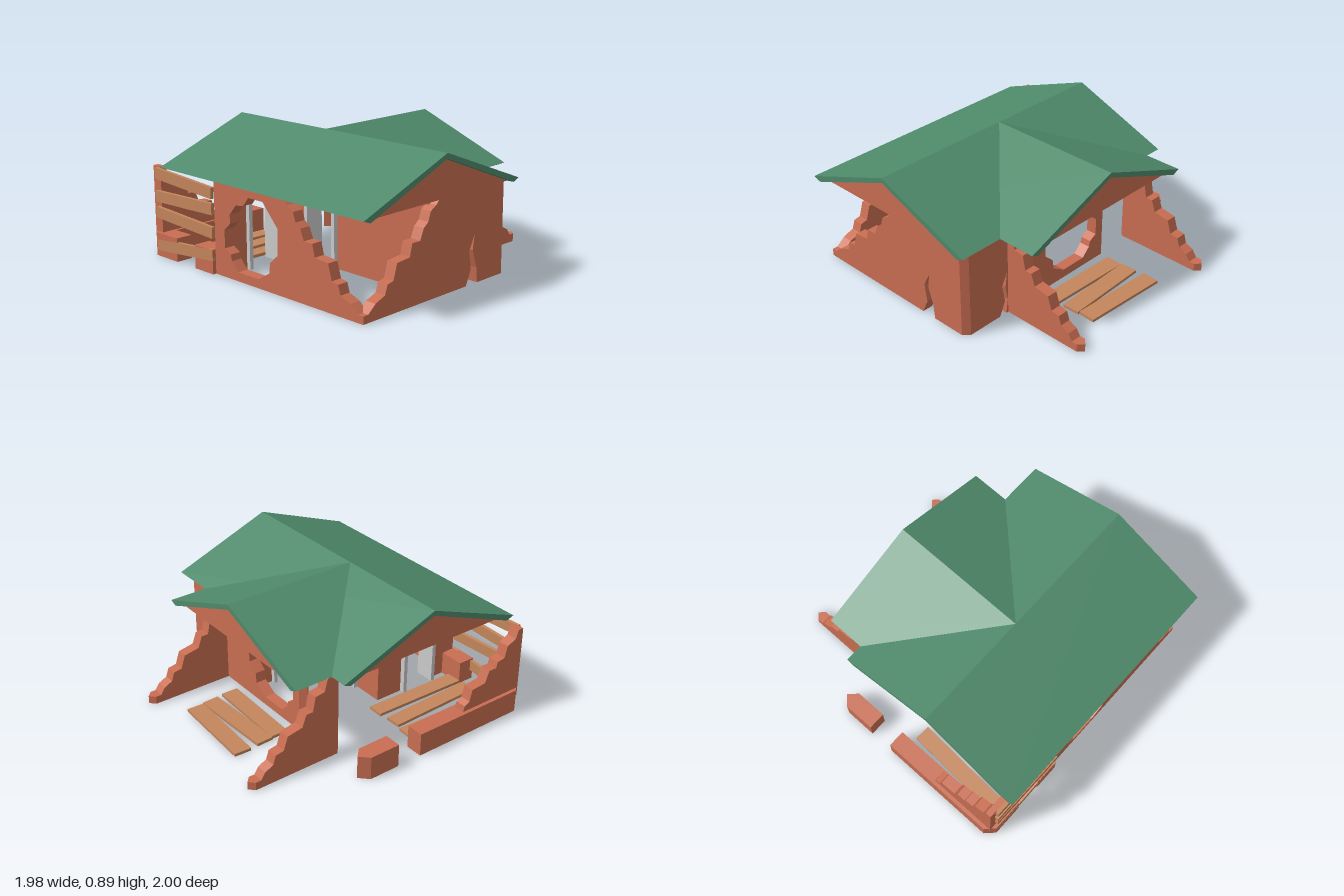
import * as THREE from 'three';

const mat = (color) => new THREE.MeshStandardMaterial({ color, flatShading: true });
const brick = mat(0xc96e52), roofGreen = mat(0x4f8a6b), wood = mat(0xc4865c), grey = mat(0xcccccc);
const T = 0.075; // wall thickness

const toShape = (pts) => new THREE.Shape(pts.map(([a, b]) => new THREE.Vector2(a, b)));
const extrude = (pts, depth, holes = []) => {
  const s = toShape(pts);
  for (const h of holes) s.holes.push(toShape(h));
  return new THREE.ExtrudeGeometry(s, { depth, bevelEnabled: false });
};

export function createModel() {
  const model = new THREE.Group();
  const add = (name, geo, material) => {
    const m = new THREE.Mesh(geo, material);
    m.name = name;
    model.add(m);
    return m;
  };
  // profile in (x, y), extruded from z0 to z1
  const alongX = (name, pts, z0, z1, material = brick, holes) =>
    add(name, extrude(pts, z1 - z0, holes).translate(0, 0, z0), material);
  // profile in (z, y), extruded from x0 to x1
  const alongZ = (name, pts, x0, x1, material = brick, holes) =>
    add(name, extrude(pts, x1 - x0, holes).rotateY(-Math.PI / 2).translate(x1, 0, 0), material);
  // footprint in (x, z), raised to a height
  const footprint = (name, pts, height) =>
    add(name, extrude(pts.map(([x, z]) => [x, -z]), height).rotateX(-Math.PI / 2), brick);
  const box = (name, w, h, d, x, y, z, material) => {
    const m = add(name, new THREE.BoxGeometry(w, h, d), material);
    m.position.set(x, y, z);
    return m;
  };

  // Crossing gable roofs with the solid gables beneath them
  const roof = (c) => [[c - 0.705, 0.625], [c, 0.895], [c + 0.7, 0.625], [c + 0.65, 0.604], [c, 0.86], [c - 0.65, 0.604]];
  const gable = (c) => [[c - 0.65, 0.604], [c + 0.65, 0.604], [c, 0.86]];
  alongX('mainRoof', roof(-0.285), -0.835, 1.0, roofGreen);
  alongZ('crossRoof', roof(-0.01), -0.285, 0.68, roofGreen);
  alongX('mainGable', gable(-0.285), -0.78, 0.95);
  alongZ('crossGable', gable(-0.01), -0.285, 0.63);

  // Front wall: crumbled on its right, cracked at the foot
  const crumble = [[0, 0], [0, 0.05], [0.04, 0.05], [0.1, 0.1], [0.18, 0.13], [0.2, 0.19], [0.25, 0.2],
    [0.28, 0.3], [0.39, 0.31], [0.41, 0.39], [0.48, 0.39], [0.51, 0.46], [0.55, 0.49], [0.57, 0.55], [0.62, 0.58], [0.65, 0.61]];
  alongX('frontWall', [...crumble.map(([u, y]) => [u - 0.94, y]), [0.3, 0.61], [0.3, 0],
    [0.085, 0], [0.075, 0.1], [0.035, 0.22], [0.05, 0.32], [0.0, 0.22], [0.02, 0.1], [-0.025, 0]], 0.875, 0.95);
  footprint('cornerPost', [[0.295, 0.875], [0.295, 0.95], [0.33, 0.95], [0.37, 0.91], [0.37, 0.875]], 0.61);

  // Side walls with ragged openings
  const ragged = [[0.11, 0.56], [-0.02, 0.56], [-0.07, 0.5], [-0.14, 0.49], [-0.2, 0.42], [-0.2, 0.36], [-0.255, 0.31],
    [-0.255, 0.19], [-0.2, 0.16], [-0.19, 0.12], [-0.13, 0.06], [0.06, 0.06], [0.16, 0.12], [0.17, 0.19], [0.24, 0.25], [0.24, 0.42]];
  alongZ('leftWall', [[-0.32, 0], [-0.32, 0.61], [0.88, 0.61], [0.88, 0],
    [0.655, 0], [0.61, 0.1], [0.635, 0.22], [0.59, 0.31], [0.605, 0.2], [0.585, 0.1], [0.6, 0]], 0.295, 0.37, brick, [ragged]);
  footprint('leftWallEnd', [[0.295, -0.32], [0.37, -0.32], [0.333, -0.36]], 0.61);
  alongZ('rightWall', [[-0.35, 0], [-0.35, 0.61], ...crumble.map(([u, y]) => [0.95 - u, y]).reverse()],
    -0.94, -0.865, brick, [ragged]);

  // Crumbling wing walls either side of the left porch
  const wing = [[0.33, 0], [0.33, 0.61], [0.37, 0.61], [0.41, 0.58], [0.43, 0.5], [0.5, 0.49], [0.52, 0.39], [0.57, 0.39],
    [0.6, 0.31], [0.71, 0.29], [0.74, 0.2], [0.8, 0.19], [0.82, 0.13], [0.88, 0.1], [0.91, 0.055], [0.95, 0.055], [0.95, 0]];
  for (const z of [0.545, -0.63]) {
    alongX('wingWall', wing, z - T / 2, z + T / 2);
    footprint('wingTip', [[0.95, z - T / 2], [0.985, z], [0.95, z + T / 2]], 0.055);
    footprint('wingRoot', [[0.33, z - T / 2], [0.295, z], [0.33, z + T / 2]], 0.61);
  }

  // Low walls and broken corner of the back porch
  footprint('lowCornerWall', [[-0.965, -0.94], [-0.905, -1], [-0.07, -1], [-0.07, -0.88], [-0.845, -0.88], [-0.845, -0.72], [-0.965, -0.72]], 0.16);
  footprint('lowBackBlock', [[0.11, -1], [0.33, -1], [0.39, -0.94], [0.33, -0.88], [0.11, -0.88]], 0.16);
  footprint('lowSideBlock', [[-0.965, -0.53], [-0.845, -0.53], [-0.845, -0.35], [-0.965, -0.35]], 0.16);
  alongX('brokenBackCorner', [[-0.94, 0.1], [-0.94, 0.61], [-0.9, 0.61], [-0.88, 0.55], [-0.81, 0.52], [-0.79, 0.44], [-0.73, 0.43],
    [-0.72, 0.39], [-0.66, 0.39], [-0.63, 0.31], [-0.52, 0.3], [-0.5, 0.22], [-0.46, 0.2], [-0.44, 0.1]], -0.975, -0.9);

  // Inner walls with framed doorways
  const door = (c) => [[c - 0.125, 0], [c - 0.125, 0.485], [c + 0.125, 0.485], [c + 0.125, 0]];
  const doorWall = (a, b, c) => [[a, 0], [a, 0.61], [b, 0.61], [b, 0], ...door(c).reverse()];
  const frame = (c) => [[c - 0.14, 0], [c - 0.14, 0.5], [c + 0.14, 0.5], [c + 0.14, 0],
    [c + 0.112, 0], [c + 0.112, 0.472], [c - 0.112, 0.472], [c - 0.112, 0]];
  alongX('backInnerWall', doorWall(-0.87, -0.26, -0.6), -0.355, -0.28);
  alongX('backDoorFrame', frame(-0.6), -0.39, -0.25, grey);
  alongX('frontInnerWall', doorWall(-0.3, 0.3, 0.03), 0.27, 0.345);
  alongX('frontDoorFrame', frame(0.03), 0.24, 0.375, grey);
  alongZ('middleInnerWall', doorWall(-0.3, 0.9, 0), -0.335, -0.26);
  alongZ('middleDoorFrame', frame(0), -0.365, -0.23, grey);

  // Boards closing the right side of the back porch
  for (const [y, tilt] of [[0.55, 0.06], [0.42, -0.03], [0.288, 0.05], [0.1, -0.09]])
    box('sideBoard', 0.025, 0.075, 0.58, -0.953, y, -0.64, wood).rotation.x = tilt;

  // Loose floor planks in both porches
  for (const [x, z, turn] of [[0.79, -0.01, -0.05], [0.64, 0.0, 0.04], [0.5, 0.01, -0.03]])
    box('leftFloorPlank', 0.12, 0.02, 0.61, x, 0.012, z, wood).rotation.y = turn;
  for (const [x, z, turn] of [[-0.49, -0.79, -0.05], [-0.51, -0.62, 0.03], [-0.5, -0.47, -0.02]])
    box('backFloorPlank', 0.7, 0.02, 0.11, x, 0.012, z, wood).rotation.y = turn;

  return model;
}
